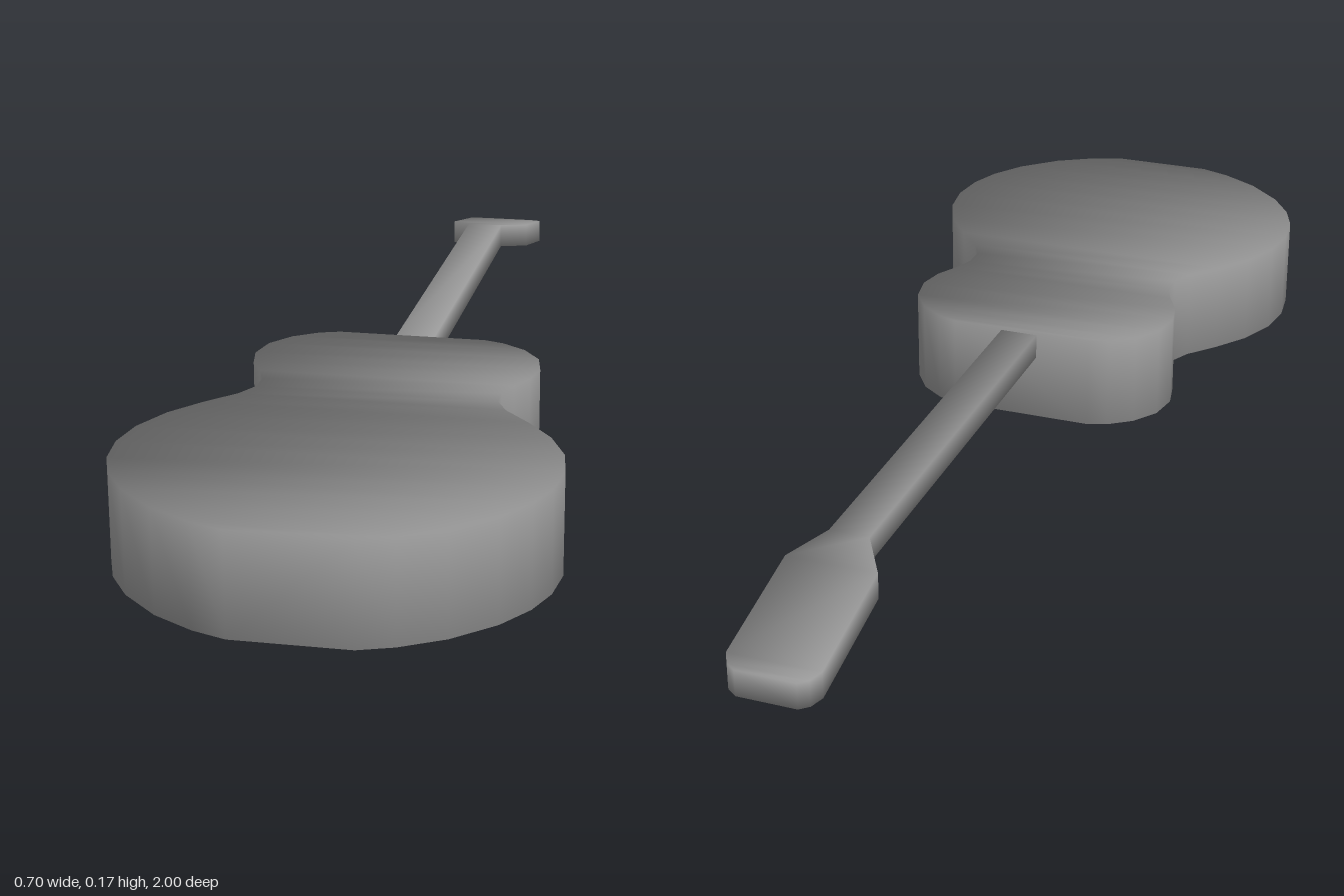
import * as THREE from 'three';

const material = new THREE.MeshStandardMaterial({ color: 0x999999 });

// Closed slab lofted through sections [z, half width, bottom, top], listed by rising z.
// Normals round over every edge; lean is how far they tip towards the flat faces.
function loft(name, lean, sections) {
  const positions = [], normals = [], index = [];
  const last = sections.length - 1;
  const normal = new THREE.Vector3();

  sections.forEach(([z, w, bottom, top], i) => {
    // The outline carries on to its mirror image past either end.
    const [z0, w0] = i > 0 ? sections[i - 1] : [z, -w];
    const [z1, w1] = i < last ? sections[i + 1] : [z, -w];
    const a = new THREE.Vector2(w - w0, z - z0).normalize();
    const b = new THREE.Vector2(w1 - w, z1 - z).normalize();
    const tangent = a.add(b).normalize();
    for (const [sx, sy] of [[-1, -1], [1, -1], [1, 1], [-1, 1]]) {
      positions.push(sx * w, sy < 0 ? bottom : top, z);
      normal.set(sx * tangent.y, sy * lean, -tangent.x).normalize();
      normals.push(normal.x, normal.y, normal.z);
    }
    if (i === last) return;
    for (let j = 0; j < 4; j++) {
      const p = i * 4 + j, q = i * 4 + (j + 1) % 4;
      index.push(p, q, q + 4, p, q + 4, p + 4);
    }
  });

  // End caps
  const e = last * 4;
  index.push(0, 2, 1, 0, 3, 2, e, e + 1, e + 2, e, e + 2, e + 3);

  const geometry = new THREE.BufferGeometry();
  geometry.setAttribute('position', new THREE.Float32BufferAttribute(positions, 3));
  geometry.setAttribute('normal', new THREE.Float32BufferAttribute(normals, 3));
  geometry.setIndex(index);
  const mesh = new THREE.Mesh(geometry, material);
  mesh.name = name;
  return mesh;
}

export function createModel() {
  const group = new THREE.Group();
  group.name = 'guitar';

  // Body: upper bout, waist and lower bout as [z, half width]
  const outline = [
    [0.088, 0.13], [0.1, 0.165], [0.13, 0.207], [0.175, 0.238], [0.23, 0.248],
    [0.28, 0.238], [0.32, 0.217], [0.36, 0.202], [0.4, 0.202], [0.44, 0.222],
    [0.49, 0.266], [0.55, 0.31], [0.62, 0.34], [0.69, 0.35], [0.76, 0.342],
    [0.82, 0.32], [0.88, 0.281], [0.94, 0.218], [0.98, 0.15], [1, 0.094],
  ];
  group.add(loft('body', 0.35, outline.map(([z, w]) => [z, w, 0, 0.169])));

  // Neck running straight back, then the headstock tilting down
  const tilt = (z) => Math.min(0, (z + 0.69) * 0.225);
  const neckOutline = [
    [-1, 0.05], [-0.99, 0.066], [-0.97, 0.077], [-0.76, 0.077], [-0.69, 0.034], [0.09, 0.034],
  ];
  const neck = loft('neckAndHeadstock', 0.8,
    neckOutline.map(([z, w]) => [z, w, 0.12 + tilt(z), 0.165 + tilt(z)]));
  neck.position.x = 0.004;
  group.add(neck);

  return group;
}
